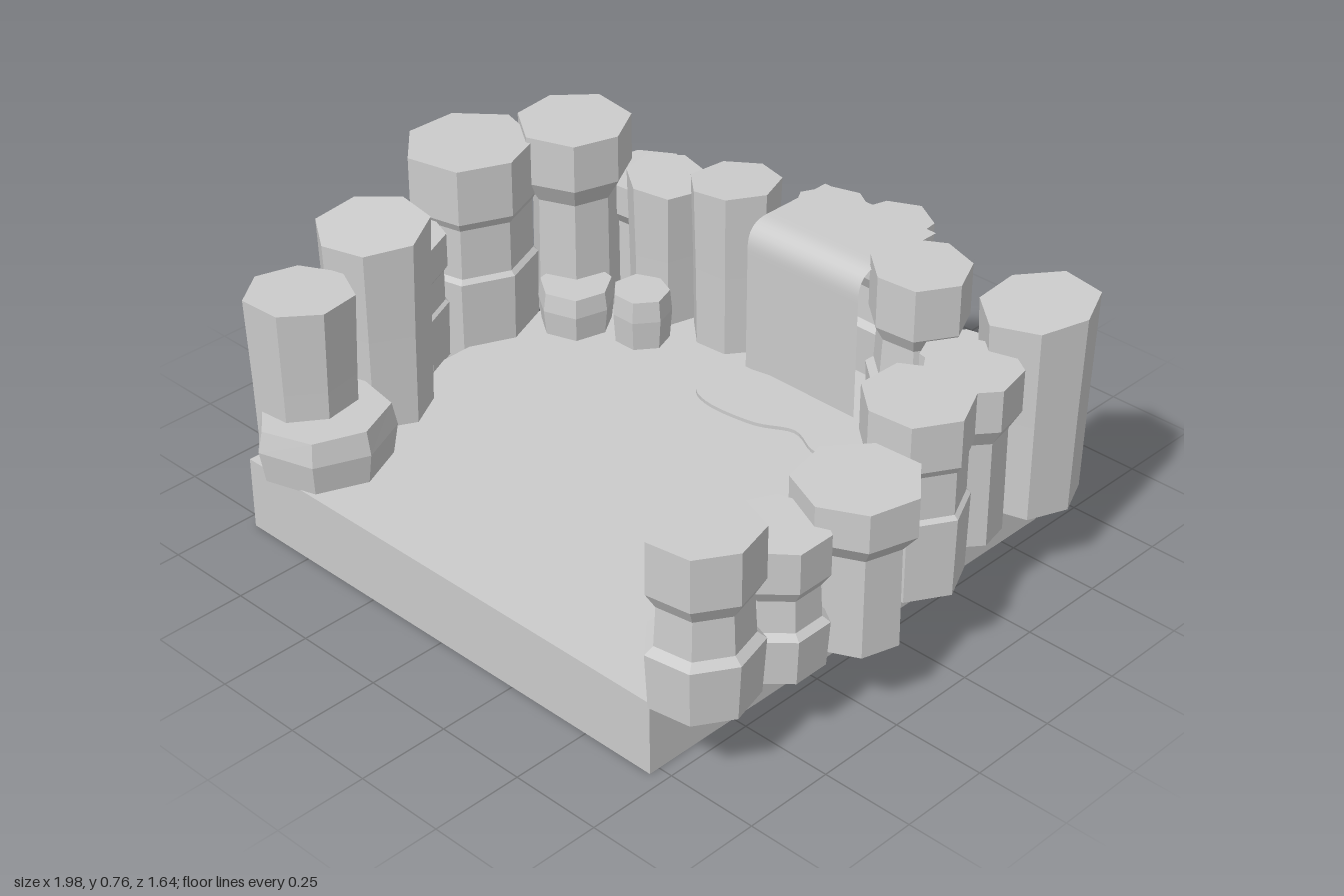
import * as THREE from 'three';

const stone = new THREE.MeshStandardMaterial({ color: 0xcccccc, flatShading: true });
const smooth = new THREE.MeshStandardMaterial({ color: 0xcccccc, side: THREE.DoubleSide });

// Column profiles: [fraction of height, fraction of radius]
const PROFILES = {
  cap: [[0, 0.78], [0.64, 0.76], [0.75, 1], [1, 1]],
  step: [[0, 0.96], [0.33, 1.02], [0.37, 0.86], [0.6, 0.82], [0.69, 1], [1, 1]],
  block: [[0, 0.97], [0.44, 1], [0.46, 0.92], [0.7, 0.92], [0.74, 1], [1, 1]],
  straight: [[0, 0.9], [0.5, 0.94], [1, 1]],
  low: [[0, 0.92], [0.6, 1], [1, 0.93]],
};

// Faceted rock column, slightly irregular, with a tilted top
function rock(name, x, z, r, y0, y1, profile, rot = 0, tiltX = 0, tiltZ = 0, sides = 7) {
  const rings = PROFILES[profile];
  const geo = new THREE.CylinderGeometry(1, 1, 1, sides, rings.length - 1);
  const p = geo.attributes.position;
  for (let i = 0; i < p.count; i++) {
    const k = Math.round((p.getY(i) + 0.5) * (rings.length - 1));
    const [f, s] = rings[k];
    const a = Math.atan2(p.getZ(i), p.getX(i)) + rot;
    const wobble = 1 + 0.04 * Math.sin(2 * a + x * 9 + z * 5);
    const d = Math.hypot(p.getX(i), p.getZ(i)) * r * s * wobble;
    const px = Math.cos(a) * d, pz = Math.sin(a) * d;
    const tilt = k === rings.length - 1 ? px * tiltX + pz * tiltZ : 0;
    p.setXYZ(i, x + px, y0 + (y1 - y0) * f + tilt, z + pz);
  }
  geo.computeVertexNormals();
  const mesh = new THREE.Mesh(geo, stone);
  mesh.name = name;
  return mesh;
}

export function createModel() {
  const model = new THREE.Group();
  model.name = 'rockGrotto';

  // Ground slab
  const base = new THREE.Mesh(new THREE.BoxGeometry(1.42, 0.205, 1.42), stone);
  base.position.set(0, 0.1025, 0.07);
  base.name = 'groundSlab';
  model.add(base);

  // Rock columns around three sides: x, z, radius, bottom, top, profile, rotation, tilts
  const columns = new THREE.Group();
  columns.name = 'rockColumns';
  [
    // right row, front to back
    [-0.65, 0.63, 0.138, 0.2, 0.66, 'straight', 0.45, 0, 0.02],
    [-0.67, 0.37, 0.148, 0.2, 0.735, 'straight', 0.2, 0, -0.1],
    [-0.81, 0.17, 0.132, 0.2, 0.57, 'block', 0.3],
    [-0.82, -0.1, 0.175, 0.13, 0.74, 'block', 0.25],
    [-0.69, -0.36, 0.155, 0.2, 0.755, 'cap', 0.1, -0.03],
    // back row
    [-0.62, -0.56, 0.125, 0.2, 0.55, 'cap', 0.4],
    [-0.48, -0.5, 0.115, 0.2, 0.61, 'straight', 0.1, -0.1],
    [-0.25, -0.52, 0.125, 0.2, 0.675, 'straight', 0.35, 0.09],
    [-0.06, -0.69, 0.1, 0.2, 0.61, 'step', 0.6],
    [0.14, -0.7, 0.108, 0.21, 0.635, 'step', 0.5],
    [0.38, -0.53, 0.135, 0.2, 0.67, 'step', 0.3],
    [0.57, -0.48, 0.11, 0.2, 0.52, 'cap', 0.7],
    // left row, back to front
    [0.78, -0.49, 0.15, 0.2, 0.745, 'straight', 0.2, 0.06, -0.07],
    [0.765, -0.26, 0.13, 0.2, 0.66, 'cap', 0.5],
    [0.79, -0.03, 0.142, 0.2, 0.695, 'block', 0.3],
    [0.85, 0.245, 0.152, 0.2, 0.625, 'cap', 0, 0, -0.03],
    [0.79, 0.45, 0.122, 0.2, 0.57, 'step', 0.6, -0.05],
    [0.76, 0.66, 0.138, 0.2, 0.66, 'step', 0.35],
  ].forEach((c) => columns.add(rock('rockColumn', ...c)));
  model.add(columns);

  // Low boulders at the feet of the columns
  const boulders = new THREE.Group();
  boulders.name = 'lowBoulders';
  [
    [-0.575, 0.64, 0.18, 0.2, 0.35, 'low', 0.2, 0.04],
    [-0.42, -0.34, 0.085, 0.2, 0.35, 'low', 0.4],
    [-0.6, -0.27, 0.11, 0.2, 0.33, 'low', 0.1],
    [0.43, -0.45, 0.11, 0.2, 0.35, 'low', 0.3, -0.1],
    [0.69, 0.28, 0.09, 0.2, 0.47, 'low', 0.5, 0, 0, 6],
    [0.73, -0.14, 0.09, 0.2, 0.36, 'low', 0.2],
    [0.61, -0.5, 0.11, 0.2, 0.36, 'low', 0.2],
  ].forEach((b) => boulders.add(rock('lowBoulder', ...b)));
  model.add(boulders);

  // Sheet of water: flat at the top, rounding over and falling straight down
  const path = new THREE.CurvePath();
  const v = (y, z) => new THREE.Vector3(0, y, z);
  path.add(new THREE.LineCurve3(v(0.64, -0.72), v(0.64, -0.49)));
  path.add(new THREE.QuadraticBezierCurve3(v(0.64, -0.49), v(0.64, -0.42), v(0.57, -0.42)));
  path.add(new THREE.LineCurve3(v(0.57, -0.42), v(0.205, -0.42)));
  const sheet = new THREE.PlaneGeometry(0.38, 1, 1, 40);
  const sp = sheet.attributes.position;
  for (let i = 0; i < sp.count; i++) {
    const q = path.getPoint(0.5 - sp.getY(i));
    sp.setXYZ(i, sp.getX(i) + 0.08, q.y, q.z);
  }
  sheet.computeVertexNormals();
  const fall = new THREE.Mesh(sheet, smooth);
  fall.name = 'waterfall';
  model.add(fall);

  // Thin wavy pool below the fall
  const outline = [
    [-0.16, -0.39], [0.05, -0.43], [0.27, -0.42], [0.44, -0.36], [0.43, -0.29], [0.36, -0.24],
    [0.29, -0.235], [0.2, -0.27], [0.1, -0.225], [-0.04, -0.21], [-0.12, -0.24], [-0.11, -0.31],
  ].map(([x, z]) => new THREE.Vector2(x, -z));
  const curve = new THREE.SplineCurve([...outline, outline[0]]);
  const pool = new THREE.Mesh(
    new THREE.ExtrudeGeometry(new THREE.Shape(curve.getPoints(60)), { depth: 0.015, bevelEnabled: false }),
    smooth
  );
  pool.rotation.x = -Math.PI / 2;
  pool.position.y = 0.2;
  pool.name = 'pool';
  model.add(pool);

  return model;
}
